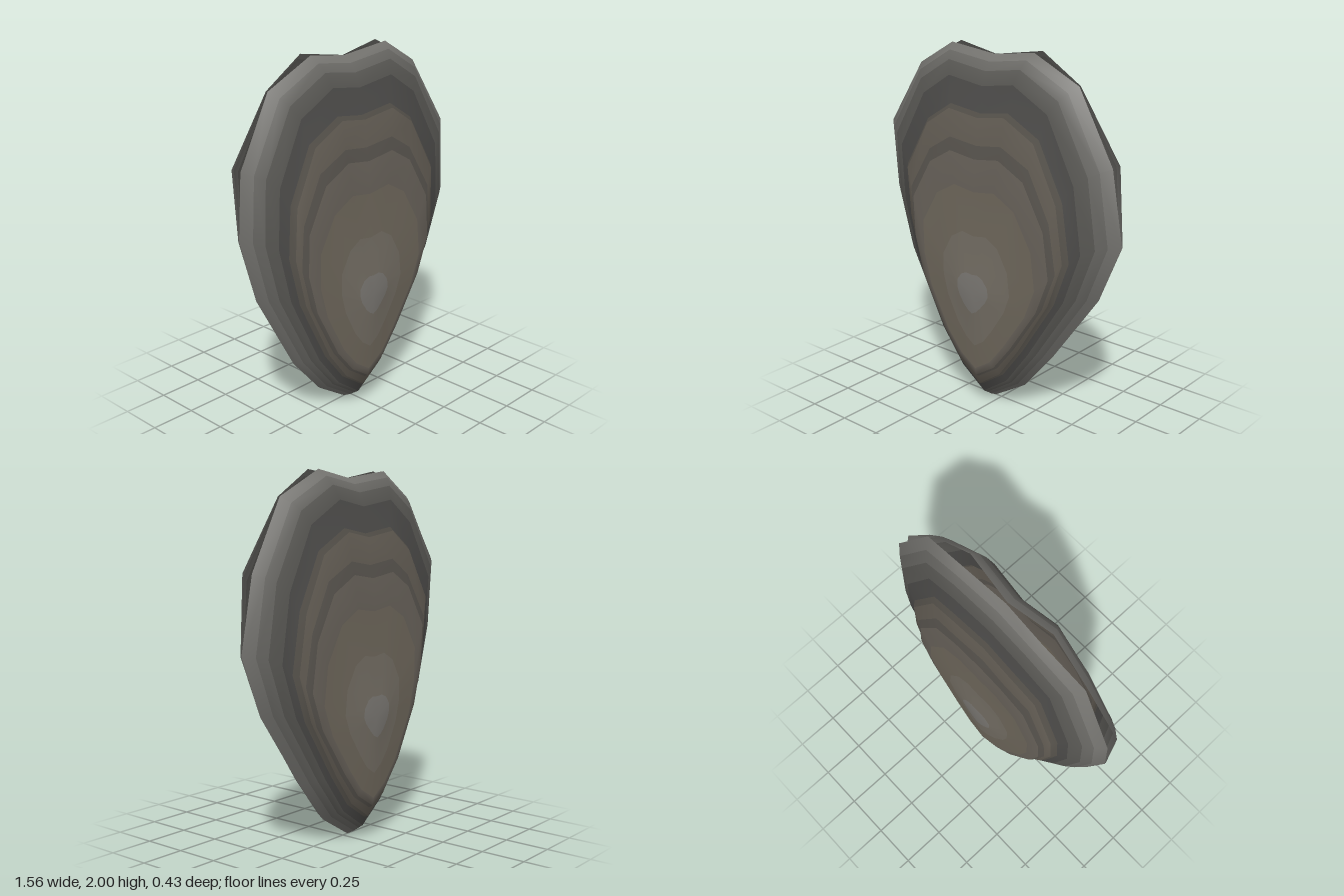
import * as THREE from 'three';

// Outline of the shell, from the hinge point round: [x, y, rim ripple]
const OUTLINE = [
  [-0.04, 0, 0], [0.17, 0.13, 0], [0.36, 0.36, 0], [0.65, 0.77, 0],
  [0.78, 1.09, 0.003], [0.73, 1.49, 0.032], [0.5, 1.86, 0.006], [0.24, 2, 0.035],
  [-0.04, 1.96, 0.004], [-0.31, 2, 0.035], [-0.57, 1.86, 0.006], [-0.78, 1.51, 0.032],
  [-0.78, 1.15, 0.003], [-0.68, 0.8, 0], [-0.43, 0.35, 0], [-0.24, 0.13, 0],
];

// Growth rings from rim to crown:
// [width scale, bottom y, top y, depth, ripple share, colour of the band inside it]
const RINGS = [
  [1, 0, 2, 0, 1, 0x74736f],
  [0.935, 0.025, 1.965, 0.047, 0.8, 0x686763],
  [0.87, 0.05, 1.92, 0.082, 0.6, 0x5a5955],
  [0.785, 0.07, 1.845, 0.11, 0.6, 0x4d4c4a], // dark band
  [0.71, 0.12, 1.7, 0.122, 0.6, 0x59554e], // step
  [0.68, 0.13, 1.68, 0.147, 0.6, 0x645e55],
  [0.635, 0.18, 1.53, 0.156, 0.6, 0x59554f], // step
  [0.6, 0.195, 1.46, 0.178, 0.3, 0x68625a],
  [0.5, 0.24, 1.28, 0.187, 0.1, 0x6e675b],
  [0.3, 0.38, 1.03, 0.193, 0, 0x736d63],
  [0.14, 0.58, 0.81, 0.214, 0, 0x7a7772],
];
const CENTRE_X = -0.03;

// One half of the shell; side is +1 for the front and -1 for the back
function makeValve(side) {
  const positions = [], index = [];
  const geometry = new THREE.BufferGeometry();
  const n = OUTLINE.length;
  for (const [width, bottom, top, depth, ripple] of RINGS) {
    for (const [x, y, wave] of OUTLINE) {
      positions.push(
        CENTRE_X + (x - CENTRE_X) * width,
        bottom + (y / 2) * (top - bottom),
        side * (depth + wave * ripple),
      );
    }
  }
  positions.push(CENTRE_X, 0.69, side * 0.215);
  const crown = RINGS.length * n;

  const addFace = (a, b, c) => index.push(...(side > 0 ? [a, b, c] : [a, c, b]));
  for (let r = 0; r < RINGS.length; r++) {
    const start = index.length;
    for (let i = 0; i < n; i++) {
      const a = r * n + i, b = r * n + (i + 1) % n;
      if (r === RINGS.length - 1) {
        addFace(a, b, crown);
      } else {
        addFace(a, b, b + n);
        addFace(a, b + n, a + n);
      }
    }
    geometry.addGroup(start, index.length - start, r); // one colour per growth band
  }
  geometry.setAttribute('position', new THREE.Float32BufferAttribute(positions, 3));
  geometry.setIndex(index);
  geometry.computeVertexNormals();
  return geometry;
}

export function createModel() {
  const group = new THREE.Group();
  group.name = 'shell';
  const materials = RINGS.map((ring) => new THREE.MeshStandardMaterial({ color: ring[5], side: THREE.DoubleSide }));
  for (const [name, side] of [['frontValve', 1], ['backValve', -1]]) {
    const valve = new THREE.Mesh(makeValve(side), materials);
    valve.name = name;
    group.add(valve);
  }
  return group;
}
